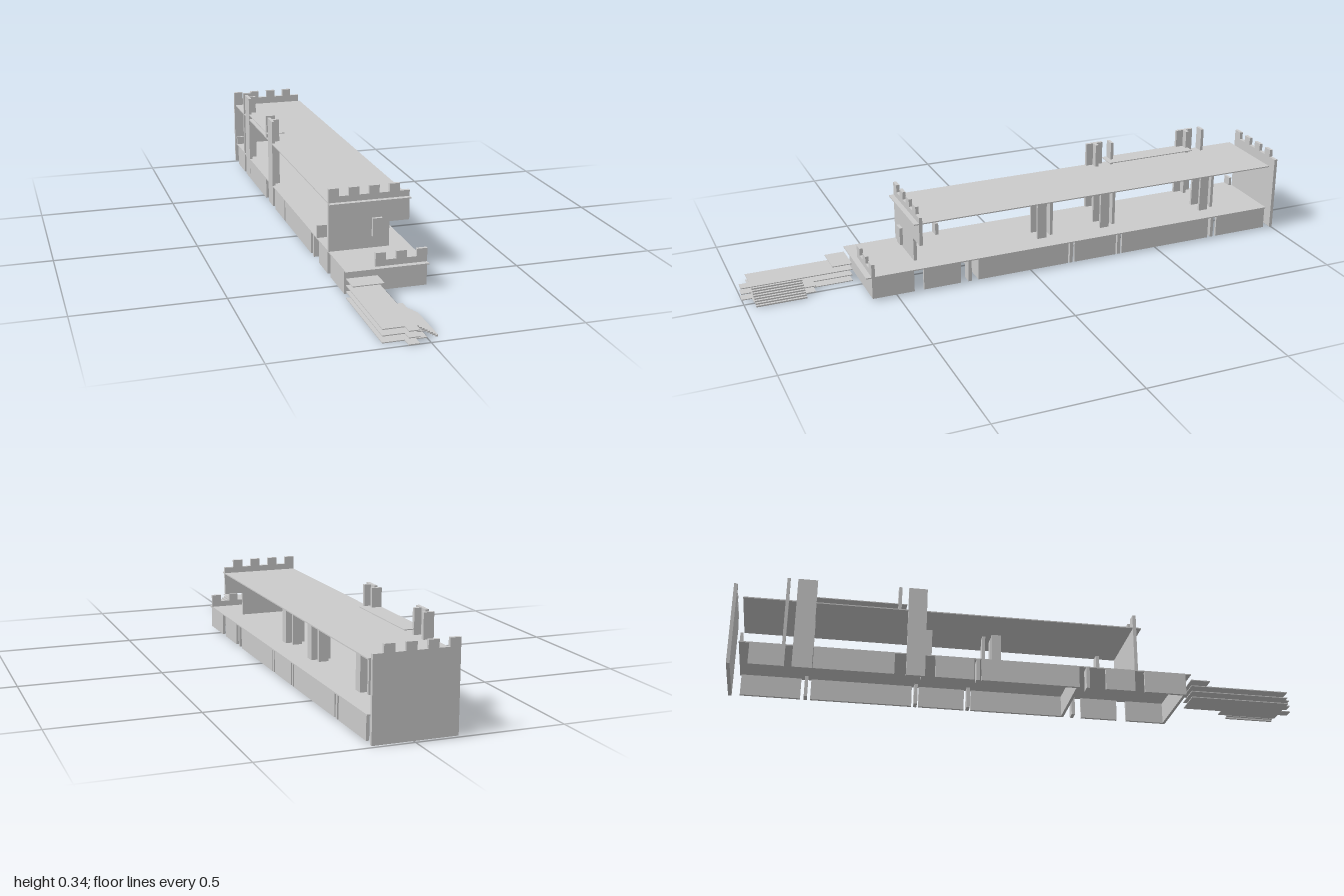
import * as THREE from 'three';

const W = 0.14; // half width
const material = new THREE.MeshStandardMaterial({ color: 0xcccccc, flatShading: true, side: THREE.DoubleSide });

export function createModel() {
  const root = new THREE.Group();

  const group = (name) => {
    const g = new THREE.Group();
    g.name = name;
    root.add(g);
    return g;
  };

  // Box given by its limits on each axis
  const box = (parent, name, x0, x1, y0, y1, z0, z1) => {
    const geo = new THREE.BoxGeometry(x1 - x0, y1 - y0, z1 - z0);
    geo.translate((x0 + x1) / 2, (y0 + y1) / 2, (z0 + z1) / 2);
    const mesh = new THREE.Mesh(geo, material);
    mesh.name = name;
    parent.add(mesh);
  };

  // Flat outline in x and y, pushed along z
  const panel = (parent, name, points, z0, z1) => {
    const shape = new THREE.Shape(points.map(([x, y]) => new THREE.Vector2(x, y)));
    const geo = new THREE.ExtrudeGeometry(shape, { depth: z1 - z0, bevelEnabled: false });
    geo.translate(0, 0, z0);
    const mesh = new THREE.Mesh(geo, material);
    mesh.name = name;
    parent.add(mesh);
  };

  // Crenellated top edge, from left to right, starting with a merlon
  const battlement = (x0, count, low, high, step = 0.035) => {
    const pts = [];
    for (let i = 0; i < count; i++) {
      const y = i % 2 ? low : high;
      pts.push([x0 + i * step, y], [x0 + (i + 1) * step, y]);
    }
    return pts;
  };

  // Main slabs
  const slabs = group('slabs');
  box(slabs, 'floor', -W, W, 0.085, 0.089, -0.965, 0.61);
  box(slabs, 'roof', -W, W, 0.253, 0.257, -0.965, 0.435);
  box(slabs, 'roofWalkway', -W, -0.073, 0.274, 0.277, -0.755, -0.405);

  // End walls and front parapet
  const walls = group('endWalls');
  panel(walls, 'backWall', [[W, 0.005], [-W, 0.005], ...battlement(-W, 8, 0.278, 0.305)].reverse(), -1, -0.988);
  panel(walls, 'frontWall',
    [[W, 0.175], [0.07, 0.175], [0.07, 0.089], [-W, 0.089], ...battlement(-W, 8, 0.278, 0.305)].reverse(), 0.405, 0.417);
  panel(walls, 'frontParapet', [[W, 0.089], [-0.035, 0.089], ...battlement(-0.035, 5, 0.11, 0.135)].reverse(), 0.578, 0.59);
  box(walls, 'windowBlock', 0, 0.035, 0.14, 0.203, 0.443, 0.454);
  box(walls, 'sidePost', -W, -0.105, 0.089, 0.133, 0.265, 0.277);
  box(walls, 'sidePost', -W, -0.105, 0.089, 0.12, -0.962, -0.952);

  // Basement walls under the floor
  const base = group('basementWalls');
  const leftRuns = [[0.44, 0.59], [0.27, 0.405], [-0.14, 0.205], [-0.33, -0.165], [-0.715, -0.355], [-0.96, -0.75]];
  const rightRuns = [[0.44, 0.59], [0.30, 0.405], [-0.14, 0.205], [-0.30, -0.165], [-0.715, -0.44], [-0.93, -0.81]];
  for (const [z0, z1] of leftRuns) box(base, 'leftBasementWall', W - 0.01, W, 0.008, 0.085, z0, z1);
  for (const [z0, z1] of rightRuns) box(base, 'rightBasementWall', -W, -W + 0.01, 0.008, 0.085, z0, z1);
  box(base, 'crossWall', -W, W, 0.008, 0.085, 0.58, 0.59);
  box(base, 'crossWall', -W, W, 0.008, 0.085, 0.195, 0.205);
  for (const z of [0.236, -0.152, -0.342, -0.732]) {
    box(base, 'basementPost', 0.105, W, 0.008, 0.085, z - 0.006, z + 0.006);
    box(base, 'basementPost', -W, -0.105, 0.008, 0.085, z - 0.006, z + 0.006);
  }

  // Pier clusters between floor and roof
  const piers = group('piers');
  for (const z of [-0.05, -0.30, -0.715]) {
    box(piers, 'pierPanel', 0.06, 0.07, 0.089, 0.253, z - 0.035, z);
    box(piers, 'pierPanel', 0, 0.01, 0.089, 0.253, z - 0.035, z);
    box(piers, 'pierCross', 0.025, 0.06, 0.089, 0.253, z - 0.035, z - 0.024);
    box(piers, 'pierCross', 0.02, 0.055, 0.089, 0.253, z - 0.066, z - 0.055);
  }

  // Two towers on the right side, rising above the roof
  const towers = group('towers');
  for (const [z0, z1] of [[-0.40, -0.335], [-0.785, -0.717]]) {
    box(towers, 'towerPanel', -W, -W + 0.011, 0.008, 0.342, z0, z1);
    const mid = (z0 + z1) / 2;
    box(towers, 'towerCross', -W + 0.011, -0.105, 0.089, 0.342, mid - 0.006, mid + 0.006);
  }
  box(towers, 'towerFin', -W, -0.105, 0.257, 0.342, -0.435, -0.424);
  box(towers, 'towerFin', -W, -0.105, 0.089, 0.342, -0.822, -0.811);

  // Layered landing plates in front
  const landing = group('landing');
  for (const y of [0, 0.022, 0.043]) {
    box(landing, 'landingPlate', -W, -0.035, y, y + 0.003, 0.61, 0.965);
    box(landing, 'landingTab', -0.07, -0.035, y, y + 0.003, 0.965, 1);
    if (y < 0.03) box(landing, 'landingWing', -0.035, 0, y, y + 0.003, 0.75, 0.965);
  }
  box(landing, 'upperPlate', -W, -0.035, 0.065, 0.068, 0.61, 0.68);

  // Side stair climbing to the landing
  const stair = group('stair');
  for (let i = 0; i < 8; i++) {
    const x = -0.035 + i * 0.00875;
    const y = 0.043 - i * 0.0053;
    box(stair, 'step', x, x + 0.00875, y - 0.0053, y, 0.79, 0.965);
  }
  return root;
}
